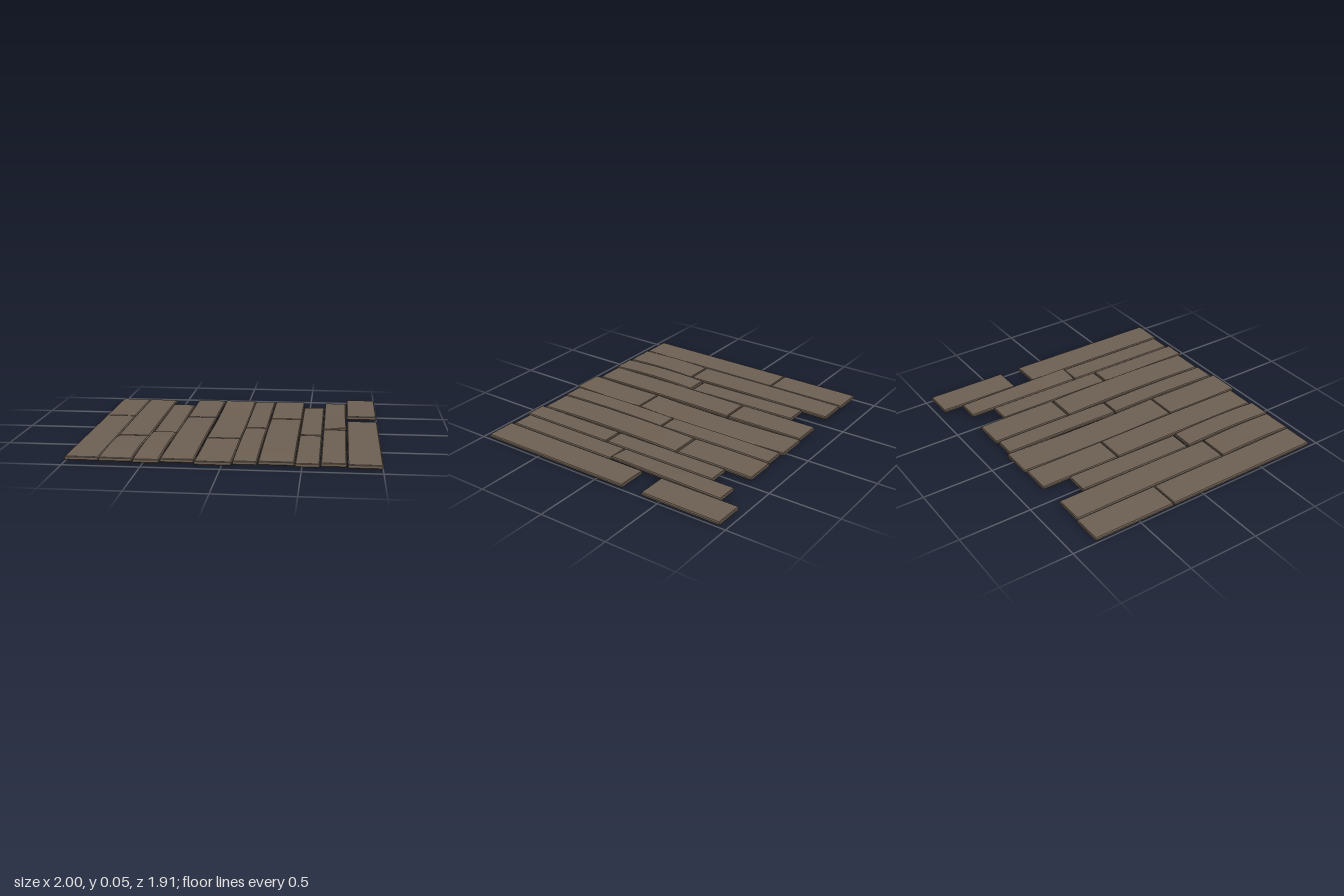
import * as THREE from 'three';

const THICK = 0.024, BASE = 0.026, CHAMFER = 0.004;

// One board: chamfered cross-section run along z, then gently warped.
// warp: lift (whole board), roll (across), pitch (along), bow (middle), twist
function plankGeometry(x0, x1, z0, z1, { lift = 0, roll = 0, pitch = 0, bow = 0, twist = 0 }) {
  const w = (x1 - x0) / 2, h = THICK / 2, c = CHAMFER, len = z1 - z0;
  const a = w - c, b = h - c;
  const outline = [[w, -b], [w, b], [a, h], [-a, h], [-w, b], [-w, -b], [-a, -h], [a, -h]];
  // inset so that the end bevel grows back to the full section
  const shape = new THREE.Shape(outline.map(([x, y]) => new THREE.Vector2(x - Math.sign(x) * c, y - Math.sign(y) * c)));
  const geo = new THREE.ExtrudeGeometry(shape, {
    depth: len - 2 * c, steps: 6,
    bevelEnabled: true, bevelSize: c, bevelThickness: c, bevelSegments: 1,
  });
  geo.translate(0, 0, c - len / 2);
  const p = geo.attributes.position;
  for (let i = 0; i < p.count; i++) {
    const s = p.getX(i) / w, t = p.getZ(i) / (len / 2);
    p.setY(i, p.getY(i) + lift + roll * s + pitch * t + bow * (1 - t * t) + twist * s * t);
  }
  geo.translate((x0 + x1) / 2, BASE, (z0 + z1) / 2);
  geo.computeVertexNormals();
  return geo;
}

// Each row: left edge, right edge, then boards as [back z, front z, warp]
const ROWS = [
  [-1, -0.782, [-0.835, -0.243, {}], [-0.237, 0.925, {}]],
  [-0.78, -0.565, [-0.825, 0.338, { bow: 0.003 }], [0.346, 0.93, { bow: 0.009 }]],
  [-0.56, -0.393, [-0.64, 0.215, { pitch: -0.005 }], [0.228, 0.94, { bow: 0.012, pitch: -0.002 }]],
  [-0.39, -0.175, [-0.835, -0.25, {}], [-0.242, 0.92, { bow: 0.004 }]],
  [-0.17, 0.065, [-0.845, 0.36, { bow: -0.012 }], [0.366, 0.955, { bow: -0.004 }]],
  [0.067, 0.223, [-0.825, 0.045, { bow: 0.003 }], [0.053, 0.93, { bow: 0.007 }]],
  [0.227, 0.455, [-0.838, -0.255, { bow: 0.003 }], [-0.243, 0.92, { bow: 0.011 }]],
  [0.457, 0.612, [-0.645, 0.218, {}], [0.23, 0.945, {}]],
  [0.615, 0.777, [-0.815, 0.048, { lift: 0.004, roll: 0.004, pitch: 0.004, twist: 0.004 }], [0.056, 0.92, {}]],
  [0.782, 1, [-0.955, -0.373, {}], [-0.22, 0.94, {}]],
];

export function createModel() {
  const model = new THREE.Group();
  model.name = 'plankFloor';
  const wood = new THREE.MeshStandardMaterial({ color: 0x6e6053, flatShading: true });
  wood.name = 'weathered wood';

  ROWS.forEach(([x0, x1, ...boards], r) => {
    const row = new THREE.Group();
    row.name = `plankRow${r + 1}`;
    boards.forEach(([z0, z1, warp], i) => {
      const plank = new THREE.Mesh(plankGeometry(x0, x1, z0, z1, warp), wood);
      plank.name = i ? 'frontPlank' : 'backPlank';
      row.add(plank);
    });
    model.add(row);
  });
  return model;
}
